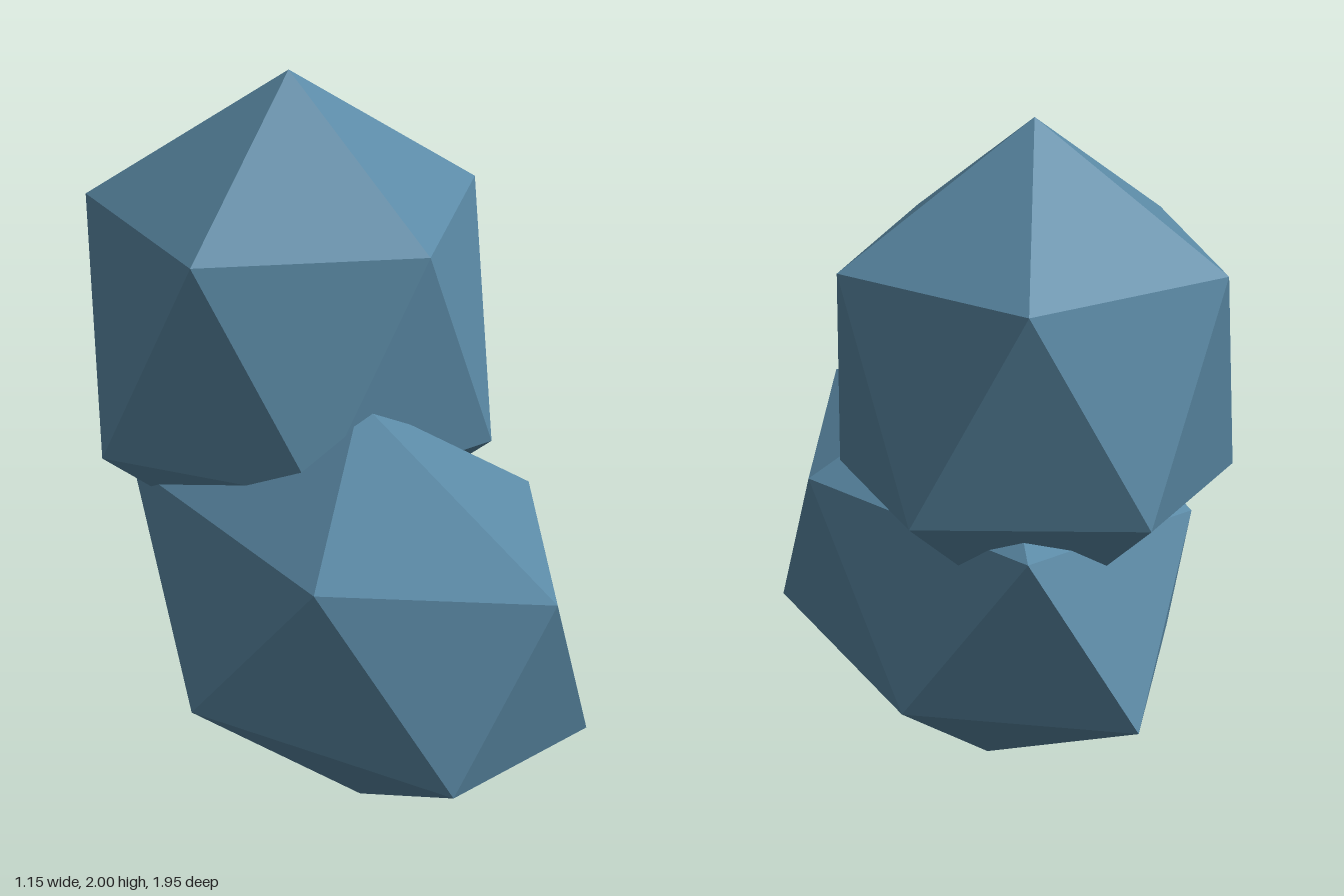
import * as THREE from 'three';
import { ConvexGeometry } from 'three/addons/geometries/ConvexGeometry.js';

// Faceted boulder: icosahedron with poles on the y axis.
// rx, rz: ring radii; h: pole height; ring vertices sit at +-h / sqrt(5).
function boulderGeometry(rx, h, rz) {
  const points = [new THREE.Vector3(0, h, 0), new THREE.Vector3(0, -h, 0)];
  const ringY = h / Math.sqrt(5);
  for (let i = 0; i < 10; i++) {
    const a = (i * Math.PI) / 5;
    const y = i % 2 === 0 ? ringY : -ringY;
    points.push(new THREE.Vector3(rx * Math.cos(a), y, rz * Math.sin(a)));
  }
  return new ConvexGeometry(points);
}

export function createModel() {
  const group = new THREE.Group();
  group.name = 'stackedBoulders';

  const stone = new THREE.MeshStandardMaterial({ color: 0x5b8aa6, flatShading: true });
  stone.name = 'blueStone';

  // Long lower boulder
  const lower = new THREE.Mesh(boulderGeometry(0.52, 0.583, 0.99), stone);
  lower.name = 'lowerBoulder';
  lower.position.set(0, 0.588, 0.035);
  group.add(lower);

  // Tall upper boulder, set back and sunk into the lower one
  const upper = new THREE.Mesh(boulderGeometry(0.575, 0.735, 0.575), stone);
  upper.name = 'upperBoulder';
  upper.position.set(0, 1.265, -0.428);
  group.add(upper);

  return group;
}
